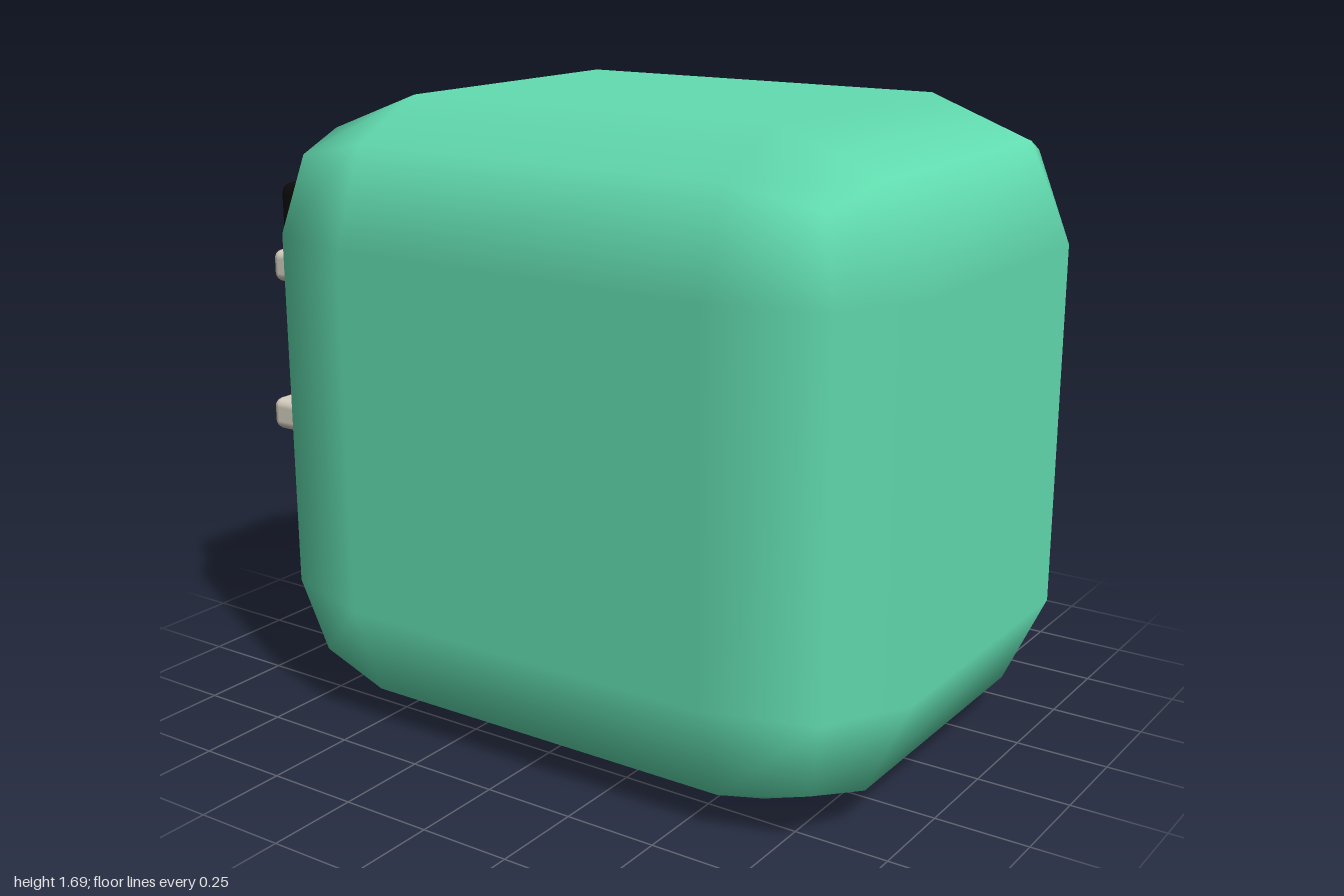
import * as THREE from 'three';
import { RoundedBoxGeometry } from 'three/addons/geometries/RoundedBoxGeometry.js';

const paint = (color) => new THREE.MeshStandardMaterial({ color });
const green = paint(0x62dcb0);
const cream = paint(0xd6cfc0);
const black = paint(0x0b0b0b);
const grey = paint(0xcccccc);

// Rounded block given by its extents along each axis
function block(name, material, [x0, x1], [y0, y1], [z0, z1], radius, segments = 2) {
  const geometry = new RoundedBoxGeometry(x1 - x0, y1 - y0, z1 - z0, segments, radius);
  const mesh = new THREE.Mesh(geometry, material);
  mesh.name = name;
  mesh.position.set((x0 + x1) / 2, (y0 + y1) / 2, (z0 + z1) / 2);
  return mesh;
}

// Brow: its inner side leans in with the curve of the body
function brow(z) {
  const mesh = block('brow', black, [-0.93, -0.86], [1.27, 1.43], z, 0.03);
  const p = mesh.geometry.attributes.position;
  for (let i = 0; i < p.count; i++) {
    if (p.getX(i) > 0) p.setX(i, p.getX(i) + 0.04 * THREE.MathUtils.smoothstep(p.getY(i), -0.06, 0.08));
  }
  mesh.geometry.computeVertexNormals();
  return mesh;
}

// One eye with brow, lids, panel and pupil, centred on z
function eye(z) {
  const group = new THREE.Group();
  group.name = 'eye';
  const span = (half) => [z - half, z + half];
  group.add(
    brow(span(0.19)),
    block('upperLid', cream, [-0.97, -0.85], [1.15, 1.24], span(0.19), 0.025),
    block('lowerLid', cream, [-1, -0.87], [0.72, 0.81], span(0.19), 0.025),
    block('eyePanel', grey, [-0.885, -0.855], [0.73, 1.17], span(0.18), 0.012),
    block('pupil', black, [-0.9, -0.87], [0.82, 1.09], span(0.05), 0.014)
  );
  return group;
}

export function createModel() {
  const model = new THREE.Group();
  model.name = 'blockHead';

  // Body: two-step bevel, wider along x than along y and z
  const bodyGeometry = new RoundedBoxGeometry(4.7, 4.69, 4.58, 1, 1);
  bodyGeometry.scale(0.4, 0.36, 0.31);
  const body = new THREE.Mesh(bodyGeometry, green);
  body.name = 'body';
  body.position.set(0.06, 0.845, 0);
  model.add(body);

  for (const z of [-0.26, 0.275]) model.add(eye(z));

  // Mouth
  model.add(
    block('upperLip', cream, [-1, -0.87], [0.52, 0.62], [-0.28, 0.29], 0.025),
    block('lowerLip', cream, [-1, -0.87], [0.375, 0.48], [-0.28, 0.29], 0.025)
  );
  return model;
}
